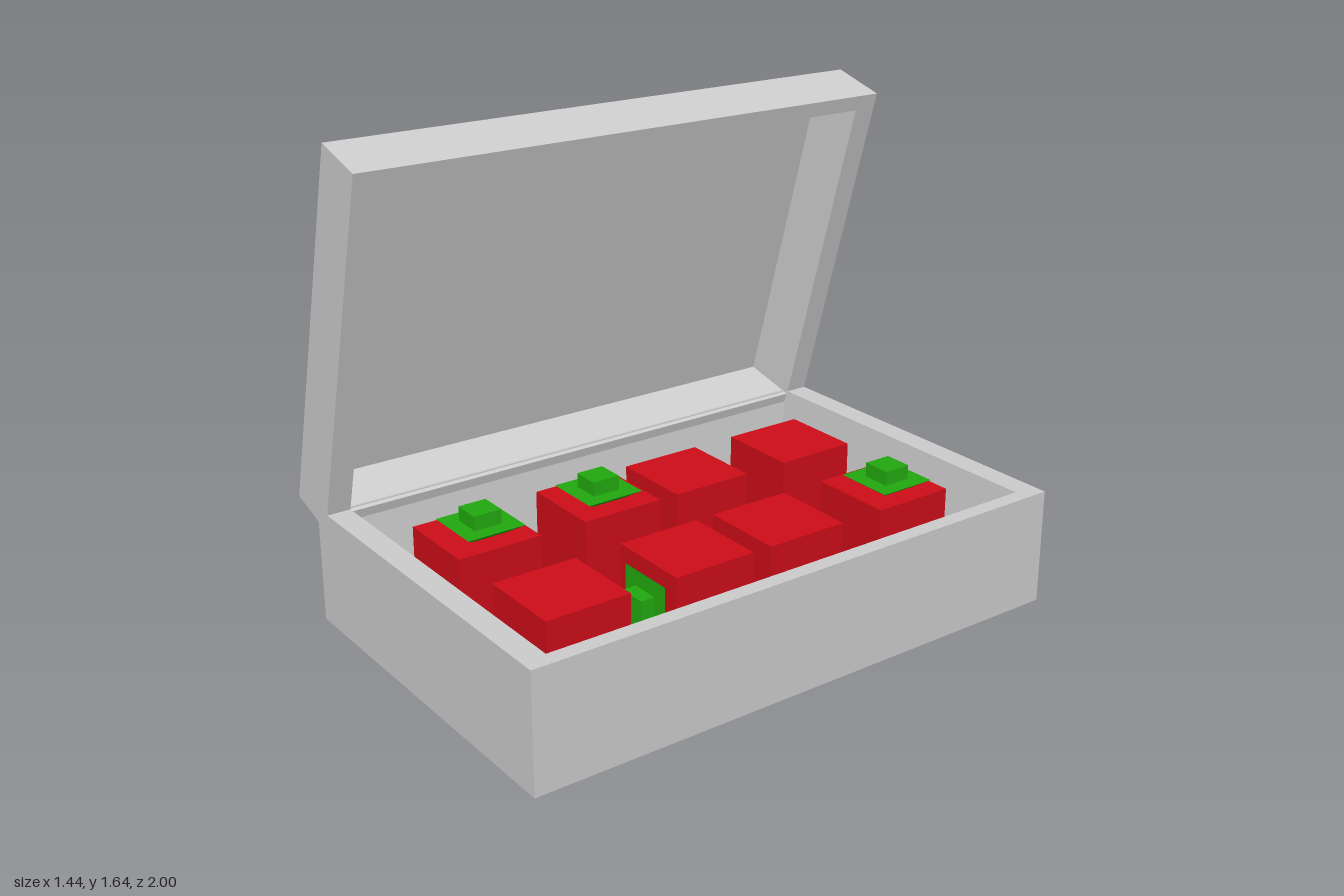
import * as THREE from 'three';

const grey = new THREE.MeshStandardMaterial({ color: 0xcccccc, flatShading: true });
const red = new THREE.MeshStandardMaterial({ color: 0xcc0d18, flatShading: true });
const green = new THREE.MeshStandardMaterial({ color: 0x22a80f, flatShading: true });

// Open rectangular tray (1.3 x 2) with a cavity that narrows towards its floor.
// A four-sided lathe gives a 2 x 2 square, which is then scaled in x.
function tray(name, height, floor) {
  const profile = [[0, 0], [1, 0], [1, height], [0.918, height], [0.877, floor], [0, floor]]
    .map(([r, y]) => new THREE.Vector2(r * Math.SQRT2, y));
  const geometry = new THREE.LatheGeometry(profile, 4, Math.PI / 4).scale(0.65, 1, 1);
  const mesh = new THREE.Mesh(geometry, grey);
  mesh.name = name;
  return mesh;
}

// Square plate flaring outwards with a small square knob on it, pointing along +y
function makeKnob() {
  const group = new THREE.Group();
  group.name = 'knob';
  const plate = new THREE.Mesh(
    new THREE.CylinderGeometry(0.105 * Math.SQRT2, 0.06 * Math.SQRT2, 0.03, 4, 1, false, Math.PI / 4), green);
  plate.name = 'knobPlate';
  plate.position.y = 0.015;
  const stud = new THREE.Mesh(new THREE.BoxGeometry(0.1, 0.05, 0.1), green);
  stud.name = 'knobStud';
  stud.position.y = 0.055;
  group.add(plate, stud);
  return group;
}

export function createModel() {
  const model = new THREE.Group();
  model.name = 'openBox';

  // Box base
  const base = tray('base', 0.4, 0.05);
  base.position.x = 0.07;
  model.add(base);

  // Lid, tilted open past upright
  const lid = tray('lid', 0.2, 0.03);
  lid.position.set(-0.54, 1.018, 0);
  lid.rotation.z = -(Math.PI / 2 + 0.2815);
  model.add(lid);

  // Two columns of cubes resting on the floor
  const cubeGeometry = new THREE.BoxGeometry(0.3, 0.3, 0.3);
  for (const x of [-0.22, 0.28]) {
    for (const z of [-0.685, -0.22, 0.15, 0.62]) {
      const cube = new THREE.Mesh(cubeGeometry, red);
      cube.name = 'cube';
      cube.position.set(x, 0.2, z);
      model.add(cube);
    }
  }

  // Knobs on top of three cubes
  for (const [x, z] of [[0.295, -0.685], [-0.21, 0.155], [-0.21, 0.61]]) {
    const knob = makeKnob();
    knob.position.set(x, 0.353, z);
    model.add(knob);
  }

  // Knob on the front side of one cube
  const sideKnob = makeKnob();
  sideKnob.name = 'sideKnob';
  sideKnob.position.set(0.305, 0.213, 0.3);
  sideKnob.rotation.x = Math.PI / 2;
  model.add(sideKnob);

  return model;
}
